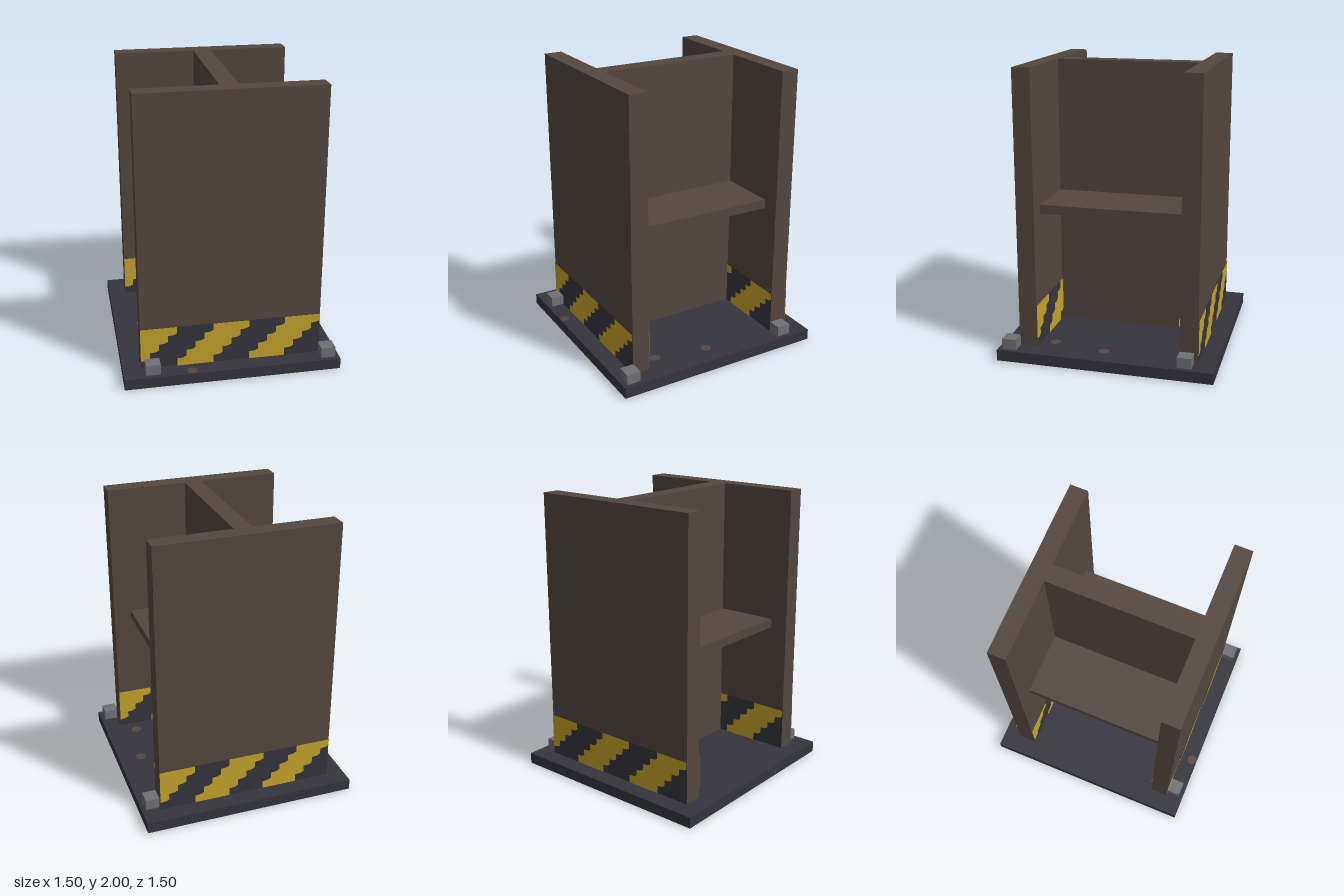
import * as THREE from 'three';

export function createModel() {
  const model = new THREE.Group();
  model.name = 'steelColumn';

  const material = (name, color) => {
    const m = new THREE.MeshStandardMaterial({ color });
    m.name = name;
    return m;
  };
  const rust = material('rustBrown', 0x54473f);
  const dark = material('darkSteel', 0x36343c);
  const yellow = material('warningYellow', 0xc4a22a);
  const grey = material('boltGrey', 0x6f7076);

  const add = (parent, name, geometry, mat, x = 0, y = 0, z = 0) => {
    const mesh = new THREE.Mesh(geometry, mat);
    mesh.name = name;
    mesh.position.set(x, y, z);
    parent.add(mesh);
    return mesh;
  };
  const box = (name, mat, w, h, d, x, y, z) =>
    add(model, name, new THREE.BoxGeometry(w, h, d), mat, x, y, z);

  // Base plate; the column passes through it and shows on the underside
  box('basePlate', dark, 1.5, 0.077, 1.5, 0, 0.0415, 0);

  // I-section column
  box('web', rust, 0.125, 2, 1, 0, 1, 0);
  for (const s of [1, -1]) {
    box(s > 0 ? 'frontFlange' : 'backFlange', rust, 1.25, 2, 0.125, 0, 1, s * 0.5625);
    box(s > 0 ? 'leftStiffener' : 'rightStiffener', rust,
      0.4375, 0.0625, 1, s * 0.28125, 1.03125, 0);
  }

  // Bolts
  for (const [x, z] of [[0.67, -0.55], [0.67, 0.67], [-0.55, 0.67]]) {
    box('bolt', grey, 0.1, 0.075, 0.1, x, 0.1165, z);
  }

  // Rust spots on the top and, mirrored, on the underside of the base
  for (const [x, z, r] of [[0.59, 0.03, 0.038], [0.525, 0.4, 0.038], [-0.285, 0.712, 0.036]]) {
    const spot = new THREE.CircleGeometry(r, 10);
    add(model, 'rustSpotTop', spot, rust, x, 0.082, z).rotation.x = -Math.PI / 2;
    add(model, 'rustSpotBottom', spot, rust, x, 0.001, -z).rotation.x = Math.PI / 2;
  }

  // Stepped edge of a warning stripe, climbing to the right from x
  const bottom = 0.08, step = 0.06, run = 0.0625, half = 0.625;
  const stepEdge = (x) => {
    const points = [];
    for (let k = 0; k < 5; k++) {
      const px = x + k * run, py = bottom + k * step;
      points.push([px, k ? py + 0.012 : py], [px, k < 4 ? py + step - 0.004 : py + step]);
      if (k < 4) points.push([px + 0.04, py + step]);
    }
    return points;
  };
  const clamp = (x) => THREE.MathUtils.clamp(x, -half, half);
  const stripes = [-0.875, -0.375, 0.125].map((x) => {
    const outline = [...stepEdge(x), ...stepEdge(x + 0.25).reverse()];
    return new THREE.ShapeGeometry(
      new THREE.Shape(outline.map(([px, py]) => new THREE.Vector2(clamp(px), py))));
  });

  // Warning band on both faces of both flanges
  const panel = new THREE.PlaneGeometry(2 * half, 0.3);
  const addBand = (name, z, turn) => {
    const band = new THREE.Group();
    band.name = name;
    add(band, 'bandBackground', panel, dark, 0, bottom + 0.15, 0.002);
    stripes.forEach((g) => add(band, 'bandStripe', g, yellow, 0, 0, 0.005));
    band.position.z = z;
    band.rotation.y = turn;
    model.add(band);
  };
  yellow.side = THREE.DoubleSide;
  addBand('frontOuterBand', 0.625, 0);
  addBand('frontInnerBand', 0.5, Math.PI);
  addBand('backInnerBand', -0.5, 0);
  addBand('backOuterBand', -0.625, Math.PI);

  return model;
}
